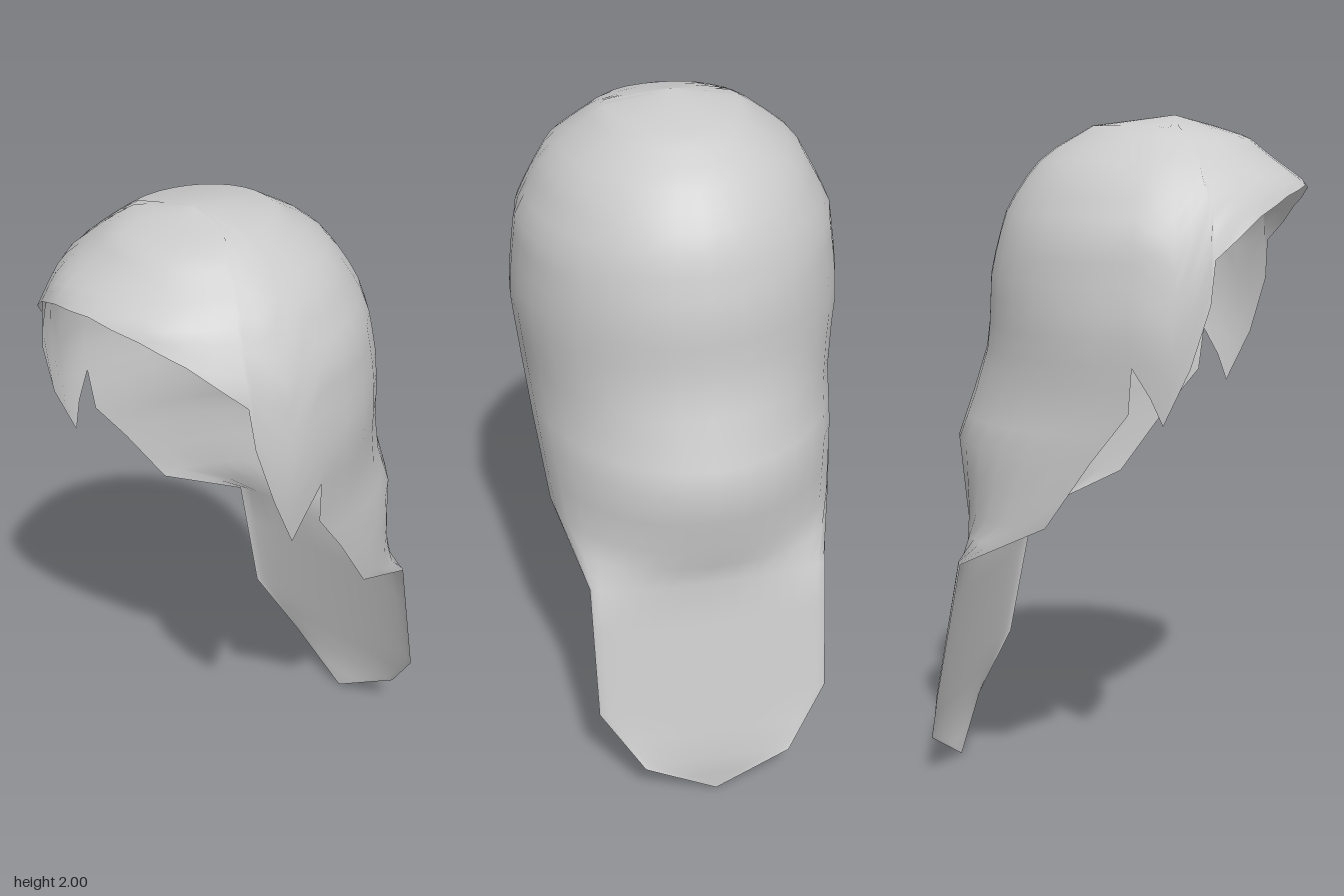
import * as THREE from 'three';
import { mergeVertices } from 'three/addons/utils/BufferGeometryUtils.js';

// Horizontal sections: height, half width, z of widest point, back z, front z
const SECTIONS = [
  [2.0, 0, 0.16, 0.16, 0.16],
  [1.97, 0.19, 0.15, -0.08, 0.27],
  [1.94, 0.235, 0.15, -0.13, 0.37],
  [1.89, 0.3, 0.15, -0.22, 0.43],
  [1.84, 0.36, 0.15, -0.26, 0.5],
  [1.81, 0.376, 0.15, -0.285, 0.54],
  [1.74, 0.415, 0.15, -0.33, 0.57],
  [1.67, 0.45, 0.15, -0.35, 0.6],
  [1.56, 0.465, 0.15, -0.38, 0.61],
  [1.43, 0.48, 0.15, -0.385, 0.61],
  [1.35, 0.472, 0.155, -0.39, 0.61],
  [1.2, 0.456, 0.14, -0.44, 0.6],
  [1.06, 0.443, 0.03, -0.49, 0.6],
  [0.86, 0.42, -0.11, -0.46, 0.6],
  [0.72, 0.35, -0.39, -0.43, 0.6],
  [0.31, 0.345, -0.47, -0.5, 0.6],
  [0.13, 0.22, -0.54, -0.53, 0.6],
  [0, 0, -0.525, -0.525, 0.6],
];

// Front hem: degrees forward of the side, height (side lock, then brim)
const HEM = [
  [0, 1.33], [7, 1.25], [14, 1.17], [20, 1.33], [27, 1.5], [28.5, 1.62],
  [38, 1.68], [48, 1.73], [57, 1.757], [66, 1.78], [78, 1.795], [90, 1.805],
];
const NOTCH = HEM[0][1];

function sectionAt(y) {
  let i = 0;
  while (i < SECTIONS.length - 2 && SECTIONS[i + 1][0] > y) i++;
  const a = SECTIONS[i], b = SECTIONS[i + 1];
  const t = (a[0] - y) / (a[0] - b[0]);
  return a.map((v, k) => v + (b[k] - v) * t);
}

// Point on the shell; angle 0 is the back, 180 the front
function shellPoint(deg, y) {
  const [, w, mid, back, front] = sectionAt(y);
  const a = THREE.MathUtils.degToRad(deg);
  const c = Math.cos(a);
  const z = c > 0 ? mid + (back - mid) * c : mid - (front - mid) * c;
  return [w * Math.sin(a), y, z];
}

// Adds a grid of points, rows running downwards
function addGrid(positions, index, rows, angles, heightAt) {
  const base = positions.length / 3, n = angles.length;
  for (let i = 0; i < rows; i++) {
    for (const deg of angles) positions.push(...shellPoint(deg, heightAt(i, deg)));
  }
  for (let i = 0; i < rows - 1; i++) {
    for (let j = 0; j < n - 1; j++) {
      const a = base + i * n + j, c = a + n;
      index.push(a, a + 1, c + 1, a, c + 1, c);
    }
  }
}

const mirrored = (half) => [...half.slice(1).reverse().map((d) => -d), ...half];

export function createModel() {
  const positions = [], index = [];
  const backHalf = Array.from({ length: 9 }, (_, i) => i * 11.25);
  const frontHalf = HEM.slice(1).map(([d]) => 90 + d);

  // Cap with brim and side locks: every column runs from crown to hem
  const hemHeight = (deg) => {
    const key = HEM.find(([d]) => d === Math.abs(deg) - 90);
    return key ? key[1] : NOTCH;
  };
  const capRows = 14;
  addGrid(positions, index, capRows + 1, mirrored([...backHalf, ...frontHalf]),
    (i, deg) => 2 - (2 - hemHeight(deg)) * (i / capRows) ** 1.6);

  // Back of the neck and the long hanging tail
  const tail = [NOTCH, 1.27, 1.2, 1.13, 1.06, 0.96, 0.86, 0.79, 0.72, 0.58, 0.45, 0.31, 0.22, 0.13, 0.06, 0];
  addGrid(positions, index, tail.length, mirrored(backHalf), (i) => tail[i]);

  // Weld the seams so shading stays smooth
  let geometry = new THREE.BufferGeometry();
  geometry.setAttribute('position', new THREE.Float32BufferAttribute(positions, 3));
  geometry.setIndex(index);
  geometry = mergeVertices(geometry, 1e-4);
  geometry.computeVertexNormals();

  const hair = new THREE.Mesh(geometry,
    new THREE.MeshStandardMaterial({ color: 0xcccccc, side: THREE.DoubleSide }));
  hair.name = 'hairShell';
  const group = new THREE.Group();
  group.name = 'longHair';
  group.add(hair);
  return group;
}
